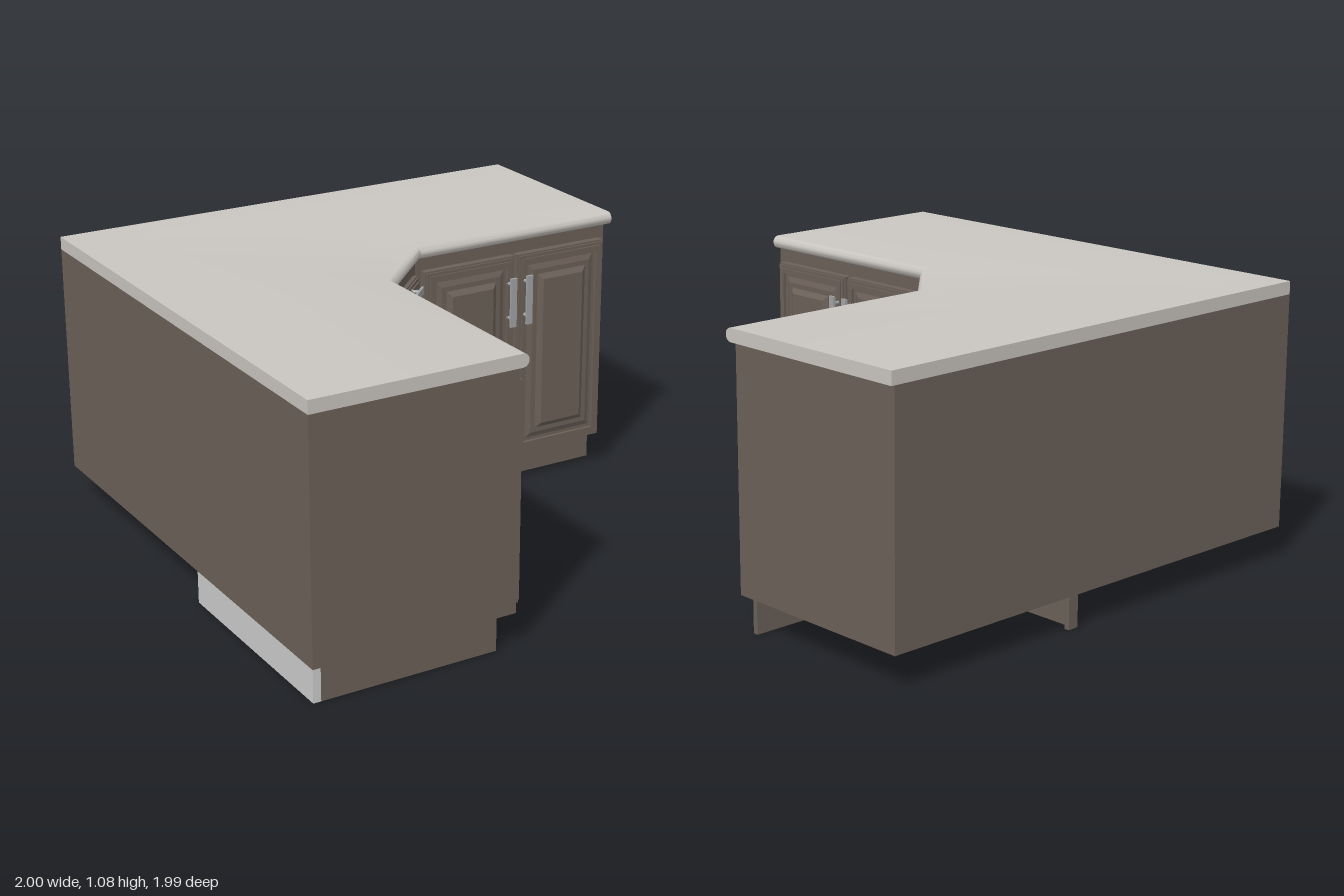
import * as THREE from 'three';
import { toCreasedNormals } from 'three/addons/utils/BufferGeometryUtils.js';

const wood = new THREE.MeshStandardMaterial({ color: 0x6b6058 });
const stone = new THREE.MeshStandardMaterial({ color: 0xc9c5c0 });
const metal = new THREE.MeshStandardMaterial({ color: 0xa0a2a4 });
const grey = new THREE.MeshStandardMaterial({ color: 0xcccccc });

function add(parent, name, geometry, material, x = 0, y = 0, z = 0) {
  const mesh = new THREE.Mesh(geometry, material);
  mesh.name = name;
  mesh.position.set(x, y, z);
  parent.add(mesh);
  return mesh;
}

function box(parent, name, material, w, h, d, x, y, z) {
  return add(parent, name, new THREE.BoxGeometry(w, h, d), material, x, y, z);
}

// L-shaped outline with a diagonal inner corner: a = front line, b = where the diagonal meets it
function outline(a, b, right) {
  const e = 0.995;
  return [[-1, -e], [-1, e], [a, e], [a, b], [b, a], [right, a], [right, -e]];
}

// Closed solid through outlines stacked at given heights
function loft(levels) {
  const n = levels[0].ring.length;
  const positions = [];
  const index = [];
  for (const { y, ring } of levels) for (const [x, z] of ring) positions.push(x, y, z);
  for (let k = 0; k < levels.length - 1; k++) {
    for (let i = 0; i < n; i++) {
      const j = (i + 1) % n;
      const p = k * n + i, q = k * n + j;
      index.push(p, q, q + n, p, q + n, p + n);
    }
  }
  const top = (levels.length - 1) * n;
  const contour = levels[0].ring.map(([x, z]) => new THREE.Vector2(x, -z));
  for (const [i, j, k] of THREE.ShapeUtils.triangulateShape(contour, [])) {
    index.push(top + i, top + j, top + k, k, j, i);
  }
  const g = new THREE.BufferGeometry();
  g.setAttribute('position', new THREE.Float32BufferAttribute(positions, 3));
  g.setIndex(index);
  return toCreasedNormals(g, 0.6);
}

function rect(target, w, h) {
  const x = w / 2, y = h / 2;
  target.moveTo(-x, -y);
  target.lineTo(x, -y);
  target.lineTo(x, y);
  target.lineTo(-x, y);
  target.closePath();
  return target;
}

// Rectangular slab whose front edge slopes in by "slope"; back at z = 0
function bevelSlab(w, h, depth, slope, rise) {
  const g = new THREE.ExtrudeGeometry(rect(new THREE.Shape(), w - 2 * slope, h - 2 * slope), {
    depth: depth - rise, bevelEnabled: true, bevelSize: slope, bevelThickness: rise, bevelSegments: 1,
  });
  return g;
}

// Panelled cabinet door, centred on its own x and y, back at z = 0
function makeDoor(w, h) {
  const door = new THREE.Group();
  door.name = 'door';
  box(door, 'doorBack', wood, w, h, 0.03, 0, 0, 0.015);
  const frames = [[0.012, 0.037, 0.006], [0.018, 0.043, 0.018]];
  for (const [width, depth, inset] of frames) {
    const ow = w - 2 * inset, oh = h - 2 * inset;
    const shape = rect(new THREE.Shape(), ow, oh);
    shape.holes.push(rect(new THREE.Path(), ow - 2 * width, oh - 2 * width));
    add(door, 'doorFrame', new THREE.ExtrudeGeometry(shape, { depth, bevelEnabled: false }), wood);
  }
  add(door, 'raisedPanel', bevelSlab(w - 0.1, h - 0.1, 0.032, 0.02, 0.008), wood, 0, 0, 0.008);
  add(door, 'panelField', bevelSlab(w - 0.18, h - 0.18, 0.04, 0.02, 0.014), wood, 0, 0, 0.016);
  return door;
}

// Bar handle on two posts, upright
function makeHandle() {
  const handle = new THREE.Group();
  handle.name = 'handle';
  box(handle, 'handleBar', metal, 0.027, 0.2, 0.01, 0, 0, 0.075);
  for (const y of [-0.07, 0.07]) {
    const post = add(handle, 'handlePost', new THREE.CylinderGeometry(0.007, 0.007, 0.04, 12), metal, 0, y, 0.055);
    post.rotation.x = Math.PI / 2;
  }
  return handle;
}

// Group on a cabinet front: local +z points out of the front
function makeFront(root, name, x, z, angle) {
  const front = new THREE.Group();
  front.name = name;
  front.position.set(x, 0, z);
  front.rotation.y = angle;
  root.add(front);
  return front;
}

export function createModel() {
  const root = new THREE.Group();
  root.name = 'cornerCabinet';

  // Carcass
  const body = outline(-0.2, 0.11, 0.987);
  add(root, 'cabinetBody', loft([{ y: 0.125, ring: body }, { y: 1.03, ring: body }]), wood);

  // Worktop with a rounded front edge
  const r = 0.024;
  const levels = [];
  for (let i = 0; i <= 10; i++) {
    const t = -Math.PI / 2 + (Math.PI * i) / 10;
    const d = r * (1 - Math.cos(t));
    levels.push({ y: 1.055 + 0.025 * Math.sin(t), ring: outline(-0.164 - d, 0.115 - 0.414 * d, 1) });
  }
  add(root, 'worktop', loft(levels), stone);

  // Paired doors on both arms
  const arms = [['leftArmFront', 0.55, -0.2, 0], ['rightArmFront', -0.2, 0.55, Math.PI / 2]];
  for (const [name, x, z, angle] of arms) {
    const front = makeFront(root, name, x, z, angle);
    for (const s of [-1, 1]) {
      const door = makeDoor(0.405, 0.83);
      door.position.set(s * 0.21, 0.56, 0);
      const handle = makeHandle();
      handle.position.set(s * 0.037, 0.8, 0);
      front.add(door, handle);
    }
  }

  // Diagonal corner door with a horizontal handle
  const corner = makeFront(root, 'cornerFront', -0.055, -0.055, Math.PI / 4);
  const door = makeDoor(0.38, 0.82);
  door.position.y = 0.56;
  const handle = makeHandle();
  handle.position.y = 0.947;
  handle.rotation.z = Math.PI / 2;
  corner.add(door, handle);

  // Plinth boards
  const h = 0.125, y = h / 2, t = 0.02;
  box(root, 'leftKickboard', wood, 0.875, h, t, 0.547, y, -0.275);
  box(root, 'leftPlinthDivider', wood, t, h, 0.71, 0.12, y, -0.63);
  box(root, 'leftPlinthReturn', wood, 0.04, h, t, 0.14, y, -0.98);
  box(root, 'rightKickboard', wood, t, h, 0.865, -0.29, y, 0.5625);
  box(root, 'rightPlinthEnd', wood, 0.69, h, t, -0.625, y, 0.985);
  box(root, 'rightPlinthDivider', wood, 0.69, h, t, -0.625, y, 0.14);
  box(root, 'rightPlinthBack', grey, 0.03, h, 0.865, -0.985, y, 0.5625);
  const diagonal = box(root, 'cornerKickboard', wood, 0.55, h, t, -0.092, y, -0.074);
  diagonal.rotation.y = Math.PI / 4;
  return root;
}
